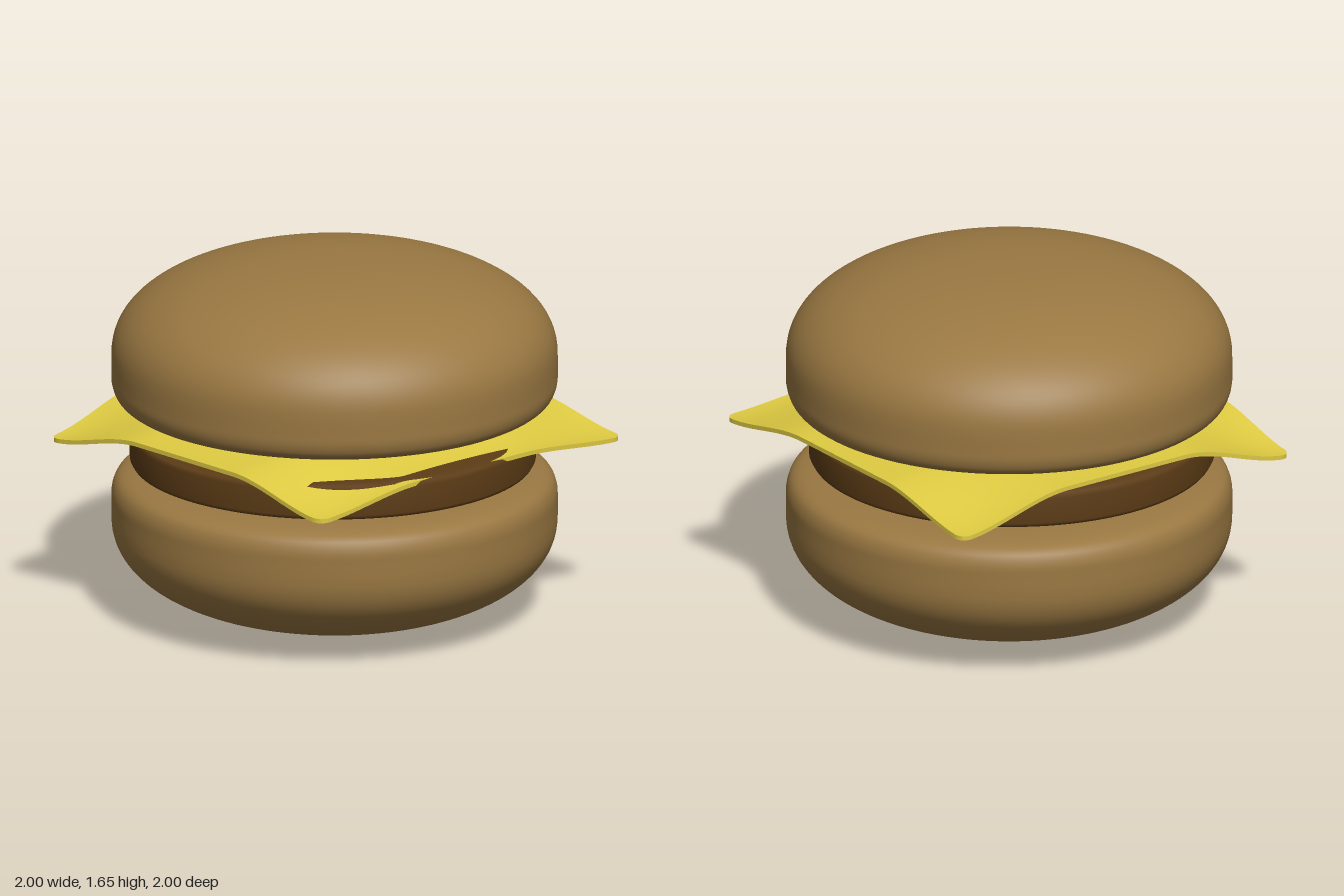
import * as THREE from 'three';

const bunMat = new THREE.MeshStandardMaterial({ color: 0x9a7842 });
const pattyMat = new THREE.MeshStandardMaterial({ color: 0x5c3c16 });
const cheeseMat = new THREE.MeshStandardMaterial({ color: 0xdfcb42 });

function addPart(group, name, geometry, material) {
  const mesh = new THREE.Mesh(geometry, material);
  mesh.name = name;
  group.add(mesh);
  return mesh;
}

// Half outline of the top bun, from the underside centre to the crown
function bunProfile() {
  const rim = new THREE.SplineCurve([
    [0.5, 0.972], [0.75, 0.979], [0.9, 0.994], [0.97, 1.022], [0.997, 1.075], [1, 1.14], [1, 1.2],
  ].map(([x, y]) => new THREE.Vector2(x, y)));
  const points = [new THREE.Vector2(0, 0.97), ...rim.getPoints(24)];
  for (let i = 1; i <= 28; i++) {
    const a = (i / 28) * Math.PI / 2;
    const x = i === 28 ? 0 : Math.cos(a) ** (2 / 2.3);
    points.push(new THREE.Vector2(x, 1.2 + 0.455 * Math.sin(a) ** (2 / 2.3)));
  }
  return points;
}

// Thin square slice with rounded corners, draped over the patty
function cheeseGeometry() {
  const thickness = 0.02, r = 0.06;
  const geo = new THREE.BoxGeometry(2, thickness, 2, 72, 1, 72);
  const p = geo.attributes.position;
  const ease = (t) => THREE.MathUtils.smoothstep(t, 0.35, 1);
  const lerp = THREE.MathUtils.lerp;
  for (let i = 0; i < p.count; i++) {
    let u = p.getX(i), v = p.getZ(i);
    const du = Math.abs(u) - (1 - r), dv = Math.abs(v) - (1 - r);
    if (du > 0 && dv > 0) {
      const k = Math.max(du, dv) / Math.hypot(du, dv);
      u = Math.sign(u) * (1 - r + du * k);
      v = Math.sign(v) * (1 - r + dv * k);
    }
    // the slice is slightly out of square
    const s = (v + 1) / 2, t = (u + 1) / 2;
    const x = lerp(lerp(-0.91, -0.9, s), lerp(0.925, 0.85, s), t);
    const z = lerp(lerp(-0.92, -0.905, t), 0.91, s);
    // each side sags by its own amount, the corners sag further
    const eu = ease(Math.abs(u)), ev = ease(Math.abs(v));
    const sideU = u > 0 ? 0.095 : 0.03;
    const sideV = v > 0 ? 0.06 : 0.055;
    const corner = u > 0 ? (v > 0 ? 0.005 : -0.01) : (v > 0 ? 0.07 : 0.06);
    const y = 0.963 - sideU * eu - sideV * ev - corner * eu * ev;
    p.setXYZ(i, x, y + p.getY(i), z);
  }
  geo.computeVertexNormals();
  return geo;
}

export function createModel() {
  const burger = new THREE.Group();
  burger.name = 'burger';

  // Two buns, the lower one a mirror of the upper
  const top = bunProfile();
  const bottom = top.map((q) => new THREE.Vector2(q.x, 1.66 - q.y)).reverse();
  addPart(burger, 'topBun', new THREE.LatheGeometry(top, 96), bunMat);
  addPart(burger, 'bottomBun', new THREE.LatheGeometry(bottom, 96), bunMat);

  // Patty, a disc with softened edges and slightly off centre
  const pattyPoints = [
    [0, 0.707], [0.7, 0.708], [0.86, 0.713], [0.9, 0.722], [0.91, 0.74],
    [0.91, 0.855], [0.9, 0.874], [0.86, 0.883], [0.7, 0.886], [0, 0.887],
  ].map(([x, y]) => new THREE.Vector2(x, y));
  const patty = addPart(burger, 'patty', new THREE.LatheGeometry(pattyPoints, 96), pattyMat);
  patty.position.set(0.02, 0, 0.03);

  addPart(burger, 'cheeseSlice', cheeseGeometry(), cheeseMat);
  return burger;
}
